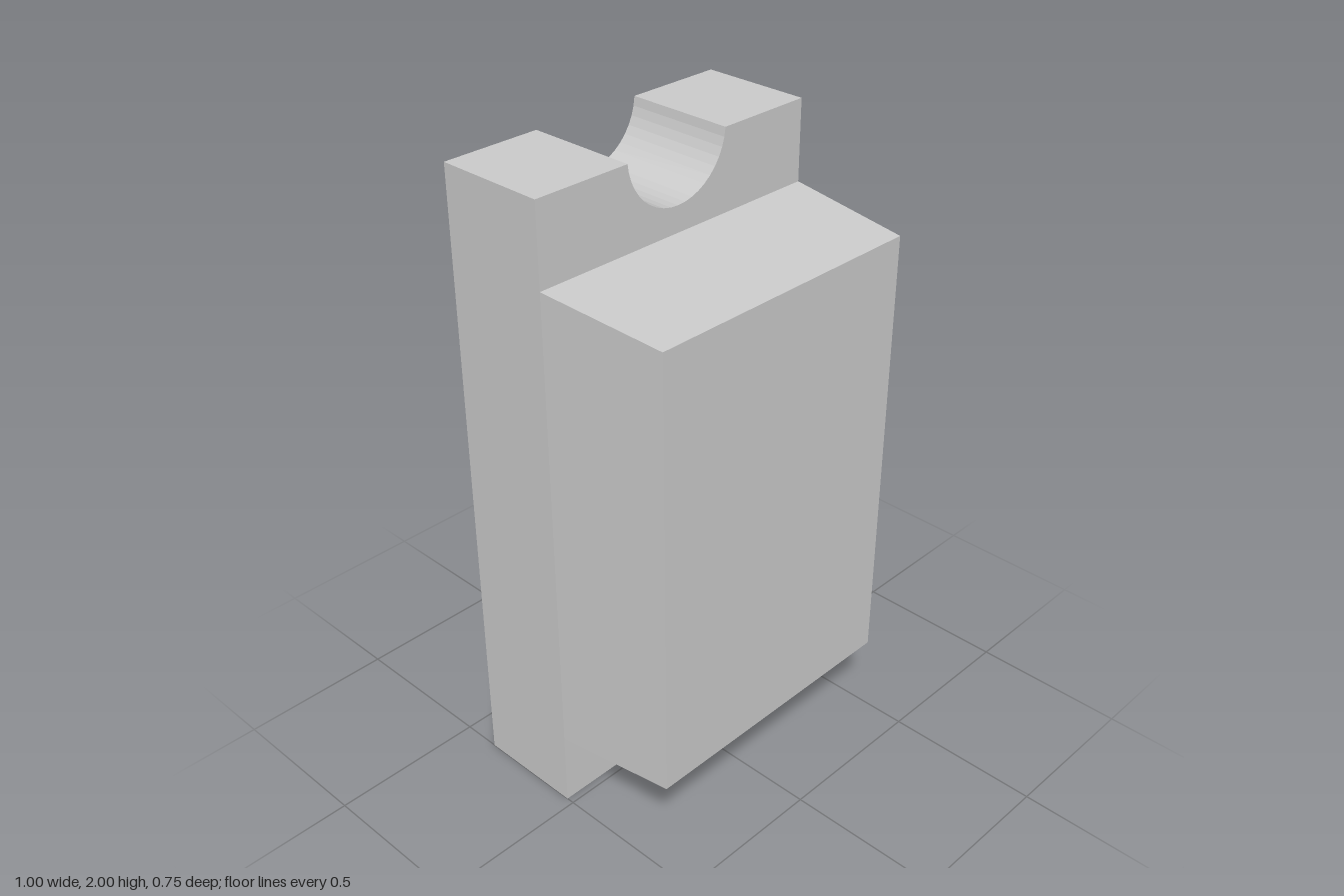
import * as THREE from 'three';

const material = new THREE.MeshStandardMaterial({ color: 0xcccccc });

const BACK = -0.375, STEP = -0.025, FRONT = 0.375;

// Flat mounting plate with a round notch in the middle of each short end
function createPlate() {
  const r = 0.185, offset = 0.015;
  const a = Math.asin(offset / r);
  const shape = new THREE.Shape();
  shape.moveTo(-0.5, 2);
  shape.lineTo(-0.5, 0);
  shape.lineTo(-r * Math.cos(a), 0);
  shape.absarc(0, -offset, r, Math.PI - a, a, true);
  shape.lineTo(0.5, 0);
  shape.lineTo(0.5, 2);
  shape.lineTo(r * Math.cos(a), 2);
  shape.absarc(0, 2 + offset, r, -a, -Math.PI + a, true);
  shape.closePath();
  const geometry = new THREE.ExtrudeGeometry(shape, {
    depth: STEP - BACK, bevelEnabled: false, curveSegments: 10,
  });
  geometry.translate(0, 0, BACK);
  const mesh = new THREE.Mesh(geometry, material);
  mesh.name = 'notchedPlate';
  return mesh;
}

// Raised body whose four sides lean inward towards the front
function createBody() {
  const inset = 0.035;
  const geometry = new THREE.BoxGeometry(1, 1.5, FRONT - STEP);
  const p = geometry.attributes.position;
  for (let i = 0; i < p.count; i++) {
    if (p.getZ(i) > 0) {
      p.setX(i, p.getX(i) - Math.sign(p.getX(i)) * inset);
      p.setY(i, p.getY(i) - Math.sign(p.getY(i)) * inset);
    }
  }
  geometry.computeVertexNormals();
  geometry.translate(0, 1, (FRONT + STEP) / 2);
  const mesh = new THREE.Mesh(geometry, material);
  mesh.name = 'taperedBody';
  return mesh;
}

export function createModel() {
  const group = new THREE.Group();
  group.name = 'notchedBlock';
  group.add(createPlate(), createBody());
  return group;
}
